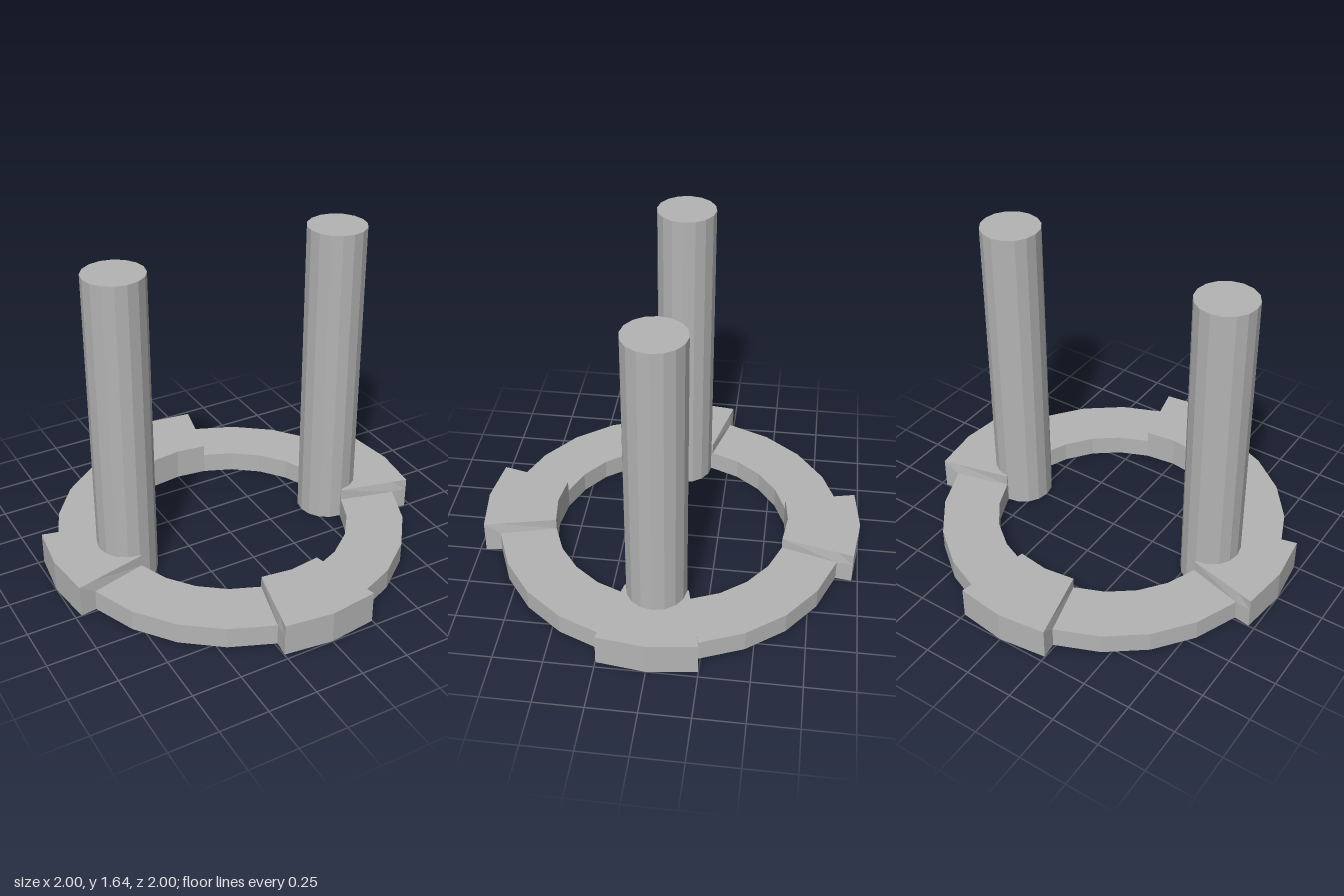
import * as THREE from 'three';

const INNER = 0.62, RING = 0.917, OUTER = 1;
const RING_H = 0.11, BLOCK_H = 0.17, POST_H = 1.645;

const polar = (r, deg) => {
  const a = THREE.MathUtils.degToRad(deg);
  return new THREE.Vector2(r * Math.cos(a), r * Math.sin(a));
};

// Upright prism standing on y = 0
function prism(points, depth, steps = 1) {
  return new THREE.ExtrudeGeometry(new THREE.Shape(points), { depth, steps, bevelEnabled: false });
}

// Low arc between two blocks
function arcGeometry() {
  const angles = [15, 30, 45, 60, 75];
  const points = [
    ...angles.map((a) => polar(RING, a)),
    ...angles.slice().reverse().map((a) => polar(INNER, a)),
  ];
  return prism(points, RING_H).rotateX(-Math.PI / 2);
}

// Raised block whose upper side walls lean in slightly from the arc ends
function blockGeometry() {
  const tip = 14.35;
  const inner = polar(INNER, 15), outer = polar(OUTER, tip);
  const lean = inner.clone().lerp(outer, 0.78);
  const ringEnd = polar(RING, 15);
  const geo = prism([
    polar(INNER, -15), polar(RING, -15), polar(OUTER, -tip), polar(OUTER, 0),
    outer, ringEnd, inner, polar(INNER, 0),
  ], BLOCK_H, 2);
  const p = geo.attributes.position;
  for (let i = 0; i < p.count; i++) {
    const x = p.getX(i), y = p.getY(i), z = p.getZ(i);
    if (z > 0.01 && z < BLOCK_H - 0.01) p.setZ(i, RING_H);
    const atRingEnd = Math.abs(x - ringEnd.x) + Math.abs(Math.abs(y) - ringEnd.y) < 0.001;
    if (atRingEnd && z > BLOCK_H - 0.01) p.setXY(i, lean.x, Math.sign(y) * lean.y);
  }
  geo.computeVertexNormals();
  return geo.rotateX(-Math.PI / 2);
}

export function createModel() {
  const model = new THREE.Group();
  model.name = 'ringWithPosts';
  const grey = new THREE.MeshStandardMaterial({ color: 0xb4b4b4 });
  grey.name = 'plain grey';
  grey.flatShading = true;

  const add = (name, geometry) => {
    const mesh = new THREE.Mesh(geometry, grey);
    mesh.name = name;
    model.add(mesh);
    return mesh;
  };

  // Ring: four arcs and four raised blocks
  const arc = arcGeometry(), block = blockGeometry();
  for (let i = 0; i < 4; i++) {
    add('ringArc', arc).rotation.y = i * Math.PI / 2;
    add('raisedBlock', block).rotation.y = i * Math.PI / 2;
  }

  // Two tall posts
  const post = new THREE.CylinderGeometry(0.153, 0.153, POST_H, 16);
  for (const [name, side] of [['leftPost', 1], ['rightPost', -1]]) {
    add(name, post).position.set(side * 0.603, POST_H / 2, 0);
  }
  return model;
}
